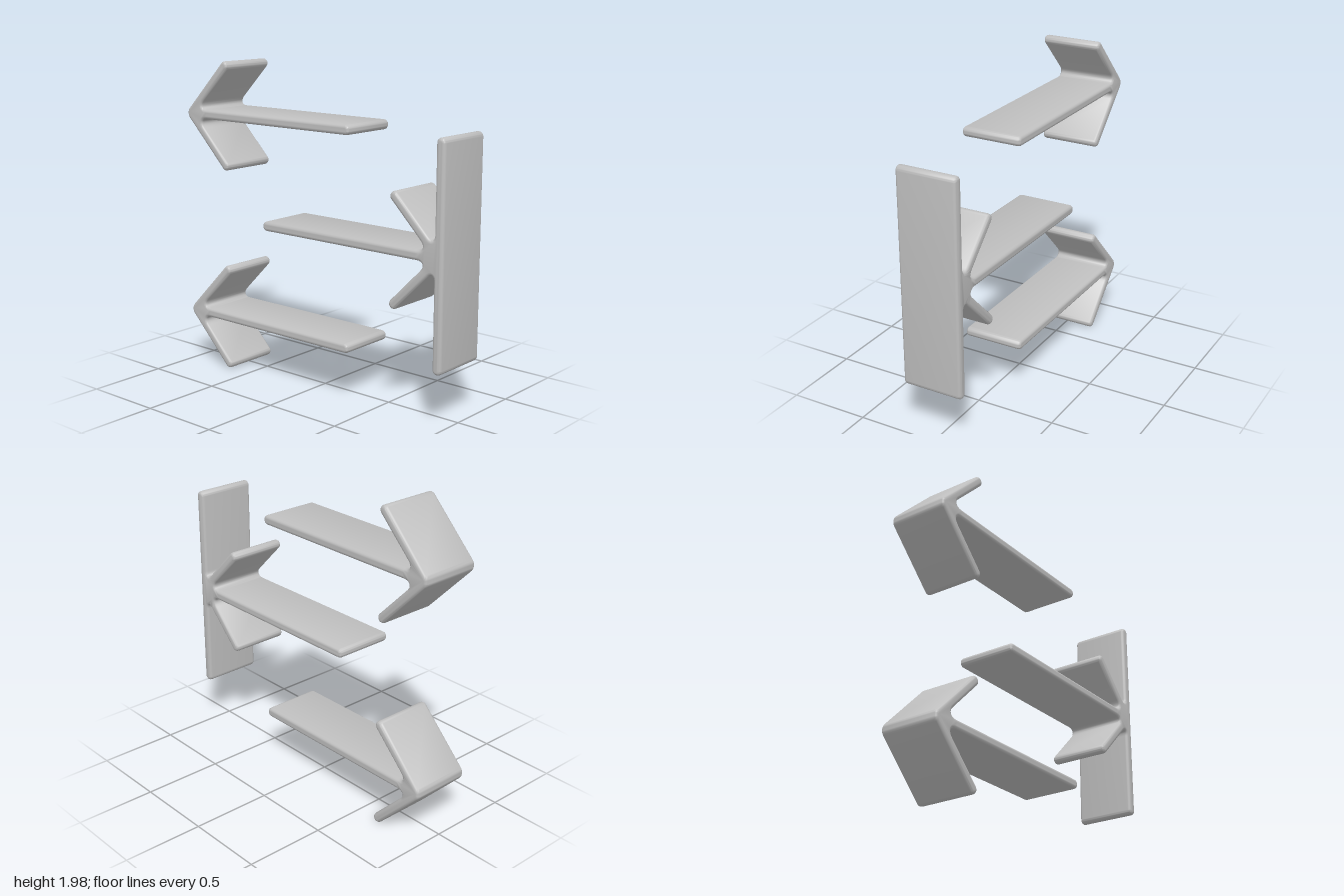
import * as THREE from 'three';
import { toCreasedNormals } from 'three/addons/utils/BufferGeometryUtils.js';

const HALF_DEPTH = 0.19;
const BEVEL = 0.02;

// Polygon whose corners [x, y, setback] are rounded off
function roundedShape(corners) {
  const shape = new THREE.Shape();
  const n = corners.length;
  corners.forEach(([x, y, setback], i) => {
    const p = new THREE.Vector2(x, y);
    const toward = (j, d) => {
      const q = new THREE.Vector2(corners[(j + n) % n][0], corners[(j + n) % n][1]);
      return q.sub(p).normalize().multiplyScalar(d).add(p);
    };
    const a = toward(i - 1, setback), b = toward(i + 1, setback);
    const c1 = toward(i - 1, setback * 0.45), c2 = toward(i + 1, setback * 0.45);
    if (i === 0) shape.moveTo(a.x, a.y);
    else shape.lineTo(a.x, a.y);
    shape.bezierCurveTo(c1.x, c1.y, c2.x, c2.y, b.x, b.y);
  });
  shape.closePath();
  return shape;
}

// Mirror a half outline (y > 0) across its axis to close it
function mirrorOutline(half) {
  const mirrored = half.filter(([, y]) => y !== 0).map(([x, y, r]) => [x, -y, r]).reverse();
  return [...half, ...mirrored];
}

// Flat strip profile with softened edges, centred on z = 0
function softExtrude(half) {
  const geometry = new THREE.ExtrudeGeometry(roundedShape(mirrorOutline(half)), {
    depth: 2 * (HALF_DEPTH - BEVEL),
    bevelEnabled: true,
    bevelThickness: BEVEL,
    bevelSize: BEVEL,
    bevelOffset: -BEVEL,
    bevelSegments: 4,
    curveSegments: 8,
  });
  geometry.translate(0, 0, -(HALF_DEPTH - BEVEL));
  return toCreasedNormals(geometry, 0.7);
}

export function createModel() {
  const group = new THREE.Group();
  const grey = new THREE.MeshStandardMaterial({ color: 0xbfbfbf });
  grey.name = 'light grey';

  const add = (name, geometry, y) => {
    const mesh = new THREE.Mesh(geometry, grey);
    mesh.name = name;
    mesh.position.y = y;
    group.add(mesh);
  };

  // Two arrows pointing to -x: tip, wing end, filleted joint, shaft end
  const arrow = softExtrude([
    [-1.02, 0, 0.05],
    [-0.67, 0.352, 0.0295],
    [-0.628, 0.31, 0.0295],
    [-0.908, 0.03, 0.08],
    [0.335, 0.03, 0.0295],
  ]);
  add('upperArrow', arrow, 1.648);
  add('lowerArrow', arrow, 0.352);

  // Arrow pointing to +x, fused to an upright bar
  const barArrow = softExtrude([
    [1.0, 0.665, 0.0295],
    [0.94, 0.665, 0.0295],
    [0.94, 0.072, 0.06],
    [0.66, 0.352, 0.0295],
    [0.618, 0.31, 0.0295],
    [0.898, 0.03, 0.08],
    [-0.35, 0.03, 0.0295],
  ]);
  add('middleArrowWithBar', barArrow, 1.0);

  return group;
}
